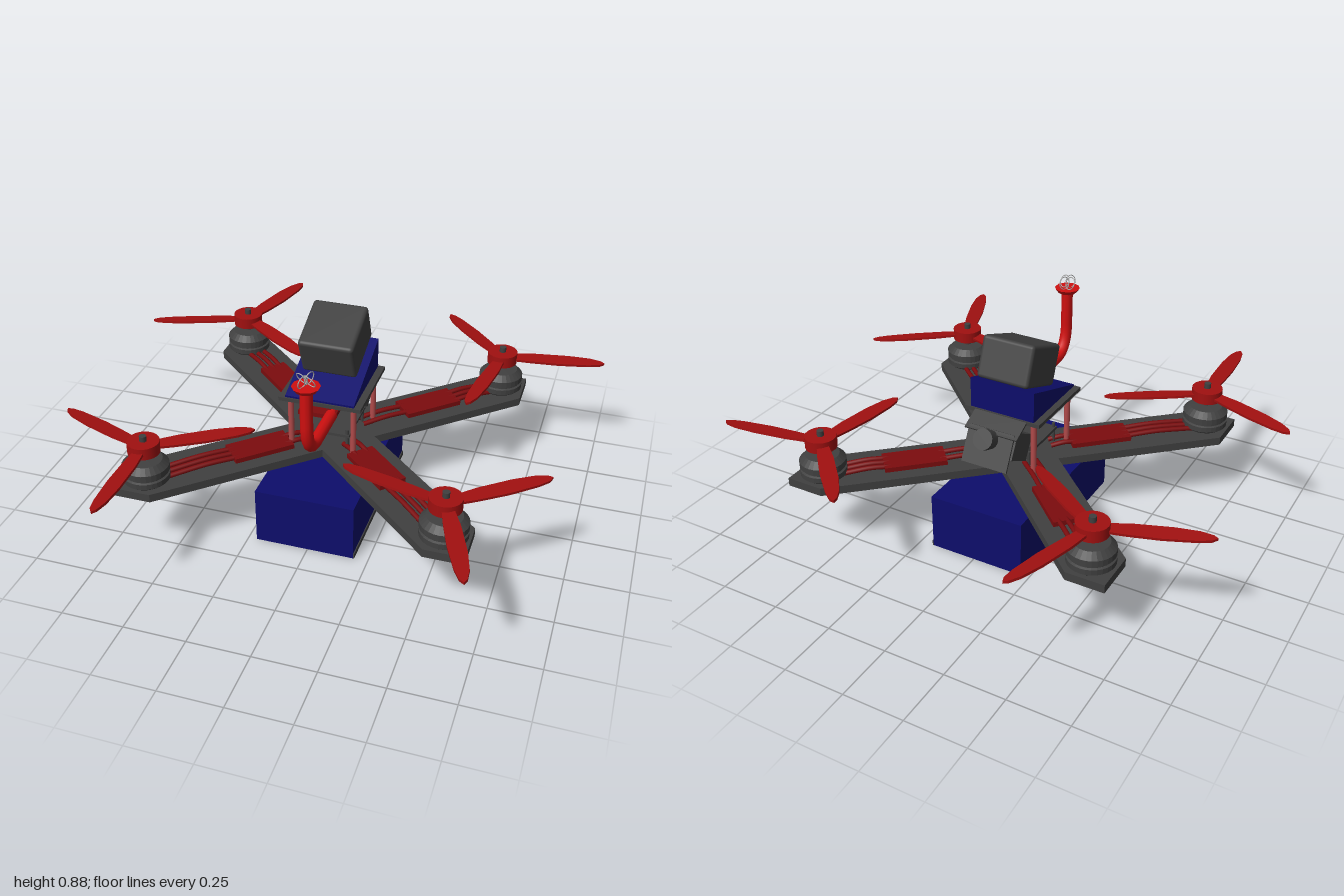
import * as THREE from 'three';
import { RoundedBoxGeometry } from 'three/addons/geometries/RoundedBoxGeometry.js';

const mat = (name, color, extra = {}) => {
  const m = new THREE.MeshStandardMaterial({ color, ...extra });
  m.name = name;
  return m;
};

export function createModel() {
  const grey = mat('dark grey', 0x404040, { side: THREE.DoubleSide });
  const blue = mat('navy blue', 0x0d0d6b);
  const propRed = mat('propeller red', 0xa01010);
  const escRed = mat('dark red', 0x7c0c0e);
  const brightRed = mat('bright red', 0xd01010);
  const postRed = mat('post red', 0xb04a4a);
  const wireGrey = mat('wire grey', 0xb0b0b0);

  const model = new THREE.Group();
  const CX = -0.01, CZ = -0.013;

  const add = (name, geo, material, x = 0, y = 0, z = 0, parent = model) => {
    const m = new THREE.Mesh(geo, material);
    m.name = name;
    m.position.set(x, y, z);
    parent.add(m);
    return m;
  };
  const box = (w, h, d) => new THREE.BoxGeometry(w, h, d);
  const cyl = (r1, r2, h, n = 24) => new THREE.CylinderGeometry(r1, r2, h, n);
  const vec = (x, y, z) => new THREE.Vector3(x, y, z);
  const tube = (pts, r, n = 24, sides = 8) =>
    new THREE.TubeGeometry(new THREE.CatmullRomCurve3(pts), n, r, sides);
  // Horizontal plate cut from a plan outline of [x, z] points
  const plate = (pts, depth) => {
    const s = new THREE.Shape(pts.map(([x, z]) => new THREE.Vector2(x, -z)));
    return new THREE.ExtrudeGeometry(s, { depth, bevelEnabled: false }).rotateX(-Math.PI / 2);
  };

  // Frame: two crossed bars with squared-off corners
  const bar = [[0.685, 0.643], [0.53, 0.643], [-0.685, -0.47], [-0.685, -0.643], [-0.53, -0.643], [0.685, 0.47]];
  for (const s of [1, -1]) {
    add('frameArm', plate(bar.map(([x, z]) => [x * s, z]), 0.034), grey, CX, 0.293, CZ);
  }

  // Battery slung below
  add('battery', box(0.405, 0.237, 0.758), blue, -0.0125, 0.1185, -0.004);
  add('batteryStrip', box(0.005, 0.022, 0.758), grey, 0.192, 0.011, -0.004);

  // Motors and propellers: blade angles in degrees, measured from +x towards +z
  const motorProfile = [[0, 0], [0.08, 0], [0.092, 0.01], [0.092, 0.032], [0.084, 0.036], [0.084, 0.042],
    [0.092, 0.046], [0.092, 0.07], [0.068, 0.094], [0, 0.097]].map(([x, y]) => new THREE.Vector2(x, y));
  const motorGeo = new THREE.LatheGeometry(motorProfile, 28).toNonIndexed();
  motorGeo.computeVertexNormals();
  const blade = plate([[0.03, -0.022], [0.14, -0.033], [0.28, -0.034], [0.37, -0.026], [0.415, -0.012], [0.43, 0.002],
    [0.41, 0.016], [0.36, 0.025], [0.24, 0.031], [0.12, 0.027], [0.03, 0.02]], 0.01);
  blade.translate(0, -0.005, 0).rotateX(0.1);
  const rotors = [
    [-1, -1, [-74, 35, 160]],
    [1, -1, [-134, -9, 99]],
    [-1, 1, [-160, -33, 89]],
    [1, 1, [-38, 69, 195]],
  ];
  for (const [sx, sz, angles] of rotors) {
    const rotor = new THREE.Group();
    rotor.name = 'rotor';
    rotor.position.set(CX + sx * 0.585, 0, CZ + sz * 0.545);
    model.add(rotor);
    add('motor', motorGeo, grey, 0, 0.327, 0, rotor);
    add('motorShaft', cyl(0.014, 0.014, 0.1, 12), grey, 0, 0.473, 0, rotor);
    add('propellerHub', cyl(0.063, 0.063, 0.048), propRed, 0, 0.477, 0, rotor);
    for (const a of angles) {
      add('propellerBlade', blade, propRed, 0, 0.475, 0, rotor).rotation.y = -a * Math.PI / 180;
    }

    // Speed controller and its cables, laid along the arm (local +x points outwards)
    const arm = new THREE.Group();
    arm.name = 'speedControllerGroup';
    arm.position.set(CX, 0, CZ);
    arm.rotation.y = -Math.atan2(sz * 0.545, sx * 0.585);
    model.add(arm);
    const mid = sz < 0 ? 0.44 : 0.33;
    add('speedController', box(0.25, 0.02, 0.115), escRed, mid, 0.337, 0, arm);
    for (const w of [-0.032, 0, 0.032]) {
      add('motorCable', tube([vec(mid + 0.1, 0.338, w), vec((mid + 0.8) / 2, 0.343, w), vec(0.73, 0.334, w)], 0.01), escRed, 0, 0, 0, arm);
    }
    for (const w of [-0.025, 0.025]) {
      add('powerCable', tube([vec(0.12, 0.334, w), vec((mid + 0.02) / 2, 0.342, w), vec(mid - 0.1, 0.338, w)], 0.01), escRed, 0, 0, 0, arm);
    }
  }

  // Flight controller stack
  add('controllerBoard', box(0.2, 0.012, 0.235), grey, CX, 0.387, -0.007);
  for (const x of [-0.1, 0.08]) {
    for (const z of [0.1, -0.11]) add('boardStandoff', cyl(0.007, 0.007, 0.09, 8), grey, x, 0.368, z);
  }

  // Posts and top plate
  for (const x of [-0.143, 0.115]) {
    for (const z of [0.135, -0.15]) add('post', cyl(0.012, 0.012, 0.225, 12), postRed, x, 0.436, z);
  }
  add('topPlate', box(0.335, 0.016, 0.352), grey, -0.0125, 0.556, 0);

  // Wedge mount with the action camera tilted on it
  const wedge = new THREE.Shape([[-0.17, 0.562], [0.17, 0.562], [0.17, 0.692], [-0.17, 0.572]].map(([x, y]) => new THREE.Vector2(x, y)));
  const wedgeGeo = new THREE.ExtrudeGeometry(wedge, { depth: 0.28, bevelEnabled: false });
  wedgeGeo.translate(0, 0, -0.14).rotateY(Math.PI / 2);
  add('cameraWedge', wedgeGeo, blue, -0.013, 0, 0);
  const cam = add('actionCamera', new RoundedBoxGeometry(0.225, 0.169, 0.237, 3, 0.015), grey, -0.013, 0.74, -0.036);
  cam.rotation.x = 0.375;

  // Pilot camera at the rear, looking back and up
  const pilot = new THREE.Group();
  pilot.name = 'pilotCamera';
  pilot.position.set(-0.01, 0.45, -0.185);
  pilot.rotation.x = 0.5;
  model.add(pilot);
  add('pilotCameraBody', box(0.2, 0.11, 0.13), grey, 0, 0, 0, pilot);
  const lens = [[0.038, 0.06, -0.09], [0.03, 0.05, -0.12], [0.042, 0.03, -0.135]];
  for (const [r, h, z] of lens) {
    add('pilotCameraLens', cyl(r, r, h, 20).rotateX(Math.PI / 2), grey, 0, 0.005, z, pilot);
  }
  // Bent bracket plate falling from the top plate beside the lens
  const bracket = (w, len, y, z, tilt) => {
    add('cameraBracket', box(w, 0.008, len), grey, -0.01, y, z).rotation.x = tilt;
  };
  bracket(0.23, 0.1, 0.54, -0.21, -0.45);
  bracket(0.2, 0.15, 0.465, -0.275, -1.1);

  // Video transmitter under the top plate and its antenna
  add('videoTransmitter', box(0.15, 0.018, 0.25), escRed, -0.01, 0.535, 0.09);
  add('antennaPlug', cyl(0.012, 0.012, 0.1, 12).rotateX(Math.PI / 2), brightRed, 0.045, 0.537, 0.18);
  const bend = new THREE.CurvePath();
  bend.add(new THREE.LineCurve3(vec(0.045, 0.537, 0.21), vec(0.045, 0.537, 0.39)));
  bend.add(new THREE.CubicBezierCurve3(vec(0.045, 0.537, 0.39), vec(0.045, 0.537, 0.45),
    vec(0.045, 0.58, 0.485), vec(0.045, 0.66, 0.488)));
  bend.add(new THREE.LineCurve3(vec(0.045, 0.66, 0.488), vec(0.045, 0.825, 0.488)));
  add('antennaTube', new THREE.TubeGeometry(bend, 40, 0.024, 10), brightRed);
  add('antennaTubeEnd', cyl(0.024, 0.024, 0.012, 10).rotateX(Math.PI / 2), brightRed, 0.045, 0.537, 0.207);
  add('antennaCap', cyl(0.053, 0.04, 0.018, 10), brightRed, 0.045, 0.824, 0.488);

  // Wire lobes on top of the antenna
  for (let i = 0; i < 4; i++) {
    const a = i * Math.PI / 2 + 0.4;
    const lobe = add('antennaLobe', new THREE.TorusGeometry(0.026, 0.002, 6, 20), wireGrey,
      0.045 + Math.cos(a) * 0.017, 0.857, 0.488 + Math.sin(a) * 0.017);
    lobe.rotation.set(0.5, -a, 0);
  }
  return model;
}
